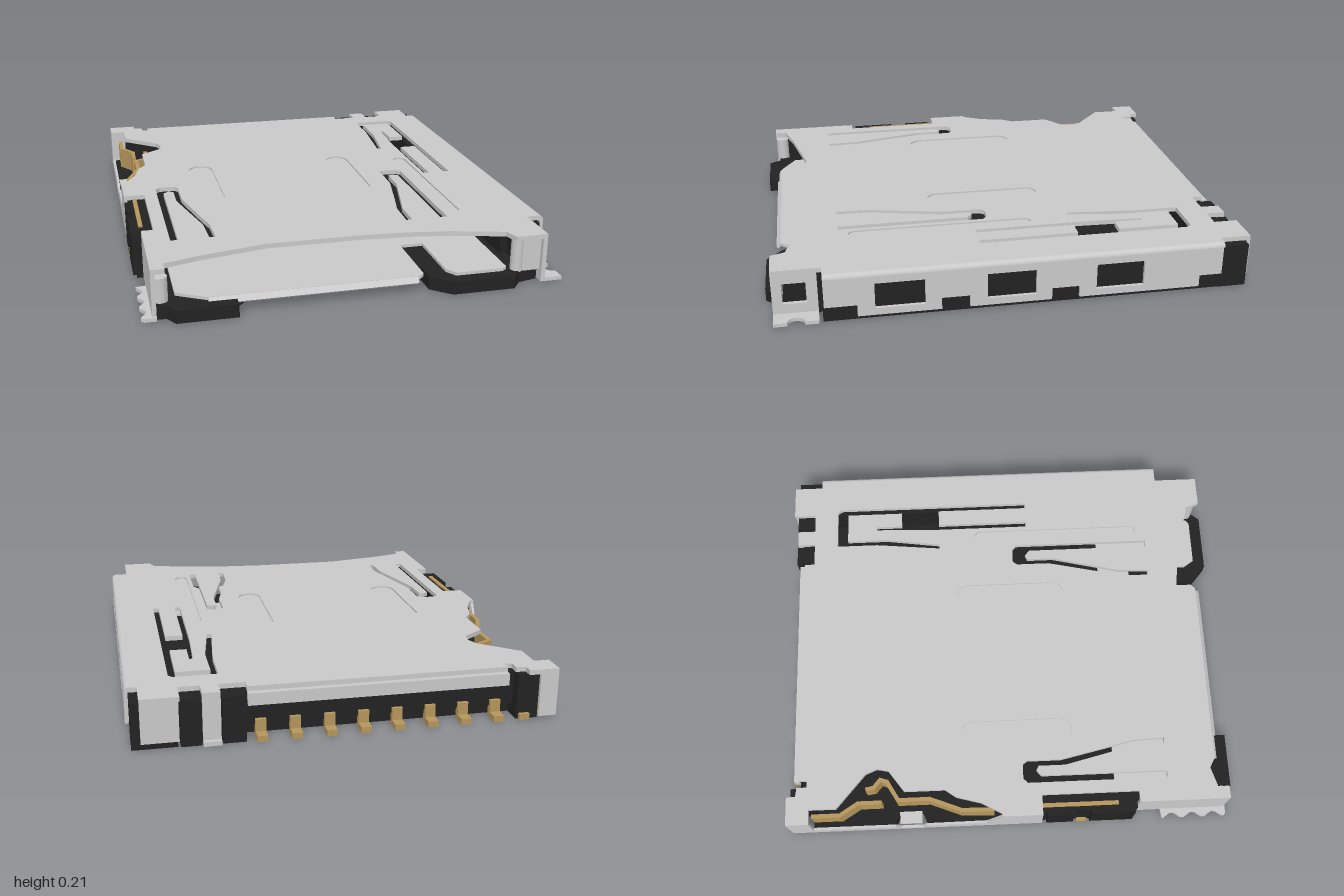
import * as THREE from 'three';

export function createModel() {
  const root = new THREE.Group();
  root.name = 'cardSocket';
  const mat = (name, color) => {
    const m = new THREE.MeshStandardMaterial({ color });
    m.name = name;
    return m;
  };
  const steel = mat('steel', 0xc9c9c9);
  const black = mat('blackPlastic', 0x222222);
  const gold = mat('goldContact', 0xb5965c);

  const add = (name, geo, m) => {
    const mesh = new THREE.Mesh(geo, m);
    mesh.name = name;
    root.add(mesh);
    return mesh;
  };
  // Box given by its limits on each axis
  const box = (name, m, x0, x1, y0, y1, z0, z1) =>
    add(name, new THREE.BoxGeometry(x1 - x0, y1 - y0, z1 - z0), m)
      .position.set((x0 + x1) / 2, (y0 + y1) / 2, (z0 + z1) / 2);
  const makeShape = (pts, holes, map) => {
    const s = new THREE.Shape(pts.map(map));
    holes.forEach(h => s.holes.push(new THREE.Path(h.map(map))));
    return s;
  };
  // Horizontal sheet from [x, z] points
  const plate = (name, m, pts, y0, y1, holes = []) => {
    const s = makeShape(pts, holes, ([x, z]) => new THREE.Vector2(x, -z));
    const g = new THREE.ExtrudeGeometry(s, { depth: y1 - y0, bevelEnabled: false });
    add(name, g.rotateX(-Math.PI / 2).translate(0, y0, 0), m);
  };
  // Upright sheet from [z, y] points
  const wall = (name, m, pts, x0, x1, holes = []) => {
    const s = makeShape(pts, holes, ([z, y]) => new THREE.Vector2(-z, y));
    const g = new THREE.ExtrudeGeometry(s, { depth: x1 - x0, bevelEnabled: false });
    add(name, g.rotateY(Math.PI / 2).translate(x0, 0, 0), m);
  };
  const rect = (a0, a1, b0, b1) => [[a0, b0], [a1, b0], [a1, b1], [a0, b1]];
  const stadium = (x0, x1, z0, z1) => {
    const r = (x1 - x0) / 2, c = (x0 + x1) / 2, pts = [];
    for (let i = 0; i <= 20; i++) {
      const a = Math.PI * (i > 10 ? i - 1 : i) / 10 + (i > 10 ? Math.PI / 10 : 0);
      const end = i <= 10 ? z1 - r : z0 + r;
      pts.push([c + r * Math.cos(a), end + r * Math.sin(a)]);
    }
    return pts;
  };

  // Shell top with spring slots and embossed ribs
  const top = 0.21, under = 0.19;
  const hook = [[-0.71, 0.69], [-0.71, 0.07], [-0.69, 0.05], [-0.625, 0.05], [-0.61, 0.07],
    [-0.61, 0.22], [-0.555, 0.47], [-0.535, 0.55], [-0.53, 0.69], [-0.555, 0.69], [-0.56, 0.55],
    [-0.58, 0.47], [-0.635, 0.24], [-0.635, 0.12], [-0.655, 0.11], [-0.68, 0.13], [-0.68, 0.69]];
  const hookRight = hook.map(([x, z]) => [-0.26 - x, z]);
  const latchSlot = [[0.48, -0.79], [0.66, -0.79], [0.675, -0.77], [0.675, 0.12], [0.65, 0.12],
    [0.65, -0.3], [0.575, -0.3], [0.575, 0.12], [0.55, 0.12], [0.55, -0.35], [0.56, -0.6],
    [0.575, -0.6], [0.575, -0.48], [0.645, -0.48], [0.645, -0.74], [0.505, -0.74],
    [0.505, -0.55], [0.47, -0.3], [0.45, -0.3], [0.48, -0.6]];
  const ribs = [[-0.53, -0.42, -0.22, 0.28], [0.15, 0.25, -0.22, 0.28], [0.47, 0.53, -0.13, 0.65]];
  const outline = [[-0.855, -1], [-0.73, -1], [-0.73, -0.96], [-0.69, -0.955], [-0.69, -0.91],
    [-0.66, -0.91], [-0.66, -0.945], [0.39, -0.945], [0.39, -0.9], [0.495, -0.9], [0.495, -0.98],
    [0.565, -0.98], [0.565, -0.9], [0.65, -0.9], [0.65, -1], [0.8, -1], [0.8, -0.87], [0.83, -0.87],
    [0.83, 0.77], [0.775, 0.77], [0.775, 0.97], [0.64, 0.97], [0.62, 0.91], [0.4, 0.85], [0.24, 0.825],
    [0.05, 0.81], [-0.35, 0.81], [-0.63, 0.87], [-0.76, 0.91], [-0.76, 0.96], [-0.815, 0.96],
    [-0.815, 0.56], [-0.765, 0.56], [-0.765, 0.13], [-0.855, 0.13], [-0.855, -0.05], [-0.84, -0.05],
    [-0.79, -0.14], [-0.76, -0.25], [-0.725, -0.3], [-0.725, -0.48], [-0.63, -0.55], [-0.62, -0.6],
    [-0.64, -0.65], [-0.79, -0.78], [-0.79, -0.9], [-0.855, -0.9]];
  plate('shellTop', steel, outline, under, top, [hook, hookRight, latchSlot, ...ribs.map(r => stadium(...r))]);
  ribs.forEach(([a, b, c, d]) => box('embossedRib', steel, a, b, 0.185, 0.203, c, d));

  // Rounded shell edges: right side and back lip
  const quarter = (r, len) => new THREE.CylinderGeometry(r, r, len, 8, 1, false, 0, Math.PI / 2);
  add('rightEdgeRound', quarter(0.02, 1.64).rotateX(-Math.PI / 2).translate(0.83, under, -0.05), steel);
  add('backEdgeRound', quarter(0.025, 1.05).rotateZ(Math.PI / 2).rotateX(Math.PI)
    .translate(-0.135, 0.185, -0.945), steel).material.side = THREE.DoubleSide;
  box('backLip', steel, -0.66, 0.39, 0.14, 0.19, -0.97, -0.945);

  // Right wall with windows and lower notches
  const sideHoles = [0.47, 0.02, -0.43].map(z => rect(z - 0.1, z + 0.1, 0.05, 0.16));
  wall('rightWall', steel, [[0.77, 0.19], [0.77, 0.07], [0.64, 0.07], [0.64, 0.02], [0.305, 0.02],
    [0.305, 0.07], [0.19, 0.07], [0.19, 0.02], [-0.145, 0.02], [-0.145, 0.07], [-0.26, 0.07],
    [-0.26, 0.02], [-0.77, 0.02], [-0.77, 0.07], [-0.865, 0.07], [-0.865, 0.19]], 0.835, 0.85, sideHoles);
  wall('rightFrontWall', steel, rect(0.79, 0.97, 0.01, 0.195), 0.757, 0.775, [rect(0.835, 0.93, 0.06, 0.15)]);

  // Left walls, low frame beside the detection spring
  wall('leftMiddleWall', steel, rect(-0.05, 0.13, 0.01, 0.195), -0.855, -0.84);
  wall('leftBackFrame', steel, [[-0.05, 0.01], [-0.05, 0.195], [-0.12, 0.07], [-0.39, 0.06],
    [-0.41, 0.03], [-0.51, 0.03], [-0.53, 0.06], [-0.9, 0.06], [-0.9, 0.195], [-1, 0.195], [-1, 0.01]],
    -0.855, -0.843);
  wall('leftFrontWall', steel, rect(0.56, 0.96, 0.01, 0.195), -0.815, -0.798);
  box('springStop', steel, -0.843, -0.79, 0.06, 0.075, -0.51, -0.41);

  // Back corner plates and folded ground tab
  box('backRightPlate', steel, 0.655, 0.8, 0.03, 0.195, -1, -0.985);
  box('backLeftPlate', steel, -0.855, -0.78, 0.01, 0.195, -1, -0.985);
  box('backTab', steel, 0.495, 0.565, 0.015, 0.195, -0.98, -0.965);
  box('backTabFoot', steel, 0.495, 0.565, 0, 0.018, -1, -0.965);

  // Curled front corners
  const curl = (x, y0, y1, r, z) =>
    add('frontCurl', new THREE.CylinderGeometry(r, r, y1 - y0, 16).translate(x, (y0 + y1) / 2, z), steel);
  box('rightFrontFold', steel, 0.66, 0.757, 0.05, 0.19, 0.93, 0.95);
  curl(0.66, 0.05, 0.19, 0.025, 0.935);
  curl(-0.78, 0.07, 0.17, 0.03, 0.93);

  // Solder flanges: scalloped on the left, notched on the right
  const scallop = [[-0.798, 0.97], [-0.845, 0.97]];
  for (let i = 0; i <= 24; i++) {
    scallop.push([-0.845 - 0.012 * Math.cos(i * Math.PI / 4), 0.96 - i * 0.0118]);
  }
  scallop.push([-0.798, 0.67]);
  plate('leftFlange', steel, scallop, 0.003, 0.018);
  const notch = [[0.757, 0.79], [0.85, 0.79]];
  for (let i = 0; i <= 10; i++) {
    const a = Math.PI * i / 10;
    notch.push([0.85 - 0.035 * Math.sin(a), 0.88 - 0.035 * Math.cos(a)]);
  }
  notch.push([0.85, 0.97], [0.757, 0.97]);
  plate('rightFlange', steel, notch, 0.003, 0.018);

  // Plastic base with front notch and entry tabs
  plate('baseFloor', black, [[-0.84, -0.9], [0.82, -0.9], [0.82, 0.77], [0.755, 0.77], [0.755, 0.93],
    [0.67, 0.95], [0.63, 1], [0.37, 1], [0.29, 0.93], [0.29, 0.83], [0.2, 0.79], [-0.3, 0.79],
    [-0.42, 0.84], [-0.49, 0.92], [-0.49, 1], [-0.73, 1], [-0.76, 0.95], [-0.795, 0.95],
    [-0.795, 0.55], [-0.84, 0.55], [-0.84, -0.39], [-0.79, -0.41], [-0.79, -0.51], [-0.84, -0.53]], 0, 0.055);
  box('rightRail', black, 0.66, 0.833, 0, 0.18, -0.98, 0.775);
  box('rightRailFront', black, 0.69, 0.75, 0, 0.18, 0.77, 0.925);
  box('rightBackCorner', black, 0.79, 0.835, 0, 0.188, -0.98, -0.86);
  box('leftRail', black, -0.797, -0.76, 0, 0.18, 0, 0.9);
  box('leftRailMiddle', black, -0.838, -0.77, 0, 0.18, -0.04, 0.13);
  box('switchBlock', black, -0.835, -0.765, 0, 0.185, 0.13, 0.55);
  box('switchBlockBack', black, -0.855, -0.765, 0.01, 0.188, 0.15, 0.27);
  box('switchBlockFront', black, -0.855, -0.765, 0.01, 0.188, 0.345, 0.54);
  box('backWall', black, -0.7, 0.66, 0.05, 0.185, -0.94, -0.85);
  box('leftBackPost', black, -0.78, -0.69, 0, 0.188, -0.985, -0.88);
  box('backPostA', black, 0.4, 0.49, 0, 0.19, -0.985, -0.88);
  box('backPostB', black, 0.57, 0.65, 0, 0.19, -0.985, -0.88);
  box('backBridge', black, 0.4, 0.65, 0, 0.18, -0.955, -0.86);

  // Steel floor liner with down-turned front lip
  plate('floorLiner', steel, [[-0.72, 0.47], [0.62, 0.47], [0.62, 0.93], [0.6, 0.945], [0.4, 0.945],
    [0.37, 0.9], [0.37, 0.62], [0.27, 0.62], [0.27, 0.92], [0.25, 0.94], [-0.6, 0.94],
    [-0.72, 0.87]], 0.055, 0.068);
  const lip = add('linerLip', new THREE.BoxGeometry(0.84, 0.012, 0.03), steel);
  lip.position.set(-0.18, 0.053, 0.945);
  lip.rotation.x = 0.8;

  // Row of contacts: foot, riser and inner beam
  const contactXs = [-0.72];
  for (let i = 0; i < 8; i++) contactXs.push(-0.612 + i * 0.136);
  contactXs.forEach(x => {
    box('contactFoot', gold, x - 0.021, x + 0.021, 0, 0.025, -1, -0.93);
    box('contactRiser', gold, x - 0.021, x + 0.021, 0, 0.075, -0.955, -0.93);
    box('contactBeam', gold, x - 0.021, x + 0.021, 0.045, 0.075, -0.955, -0.89);
  });

  // Detection springs: upright ribbons along a bent path
  const ribbon = (name, pts, y0, y1) => {
    for (let i = 1; i < pts.length; i++) {
      const [ax, az] = pts[i - 1], [bx, bz] = pts[i];
      const m = add(name, new THREE.BoxGeometry(0.018, y1 - y0, Math.hypot(bx - ax, bz - az) + 0.012), gold);
      m.position.set((ax + bx) / 2, (y0 + y1) / 2, (az + bz) / 2);
      m.rotation.y = Math.atan2(bx - ax, bz - az);
    }
  };
  ribbon('fixedSpring', [[-0.81, -0.89], [-0.81, -0.77], [-0.76, -0.69], [-0.76, -0.59]], 0.06, 0.16);
  ribbon('detectionSpring', [[-0.7, -0.65], [-0.695, -0.62], [-0.66, -0.59], [-0.67, -0.56],
    [-0.755, -0.51], [-0.755, -0.37], [-0.81, -0.23], [-0.815, -0.09]], 0.08, 0.17);
  ribbon('springTail', [[-0.81, 0.13], [-0.81, 0.46]], 0.1, 0.195);
  box('switchTerminal', gold, -0.855, -0.82, 0, 0.03, 0.285, 0.33);

  return root;
}
